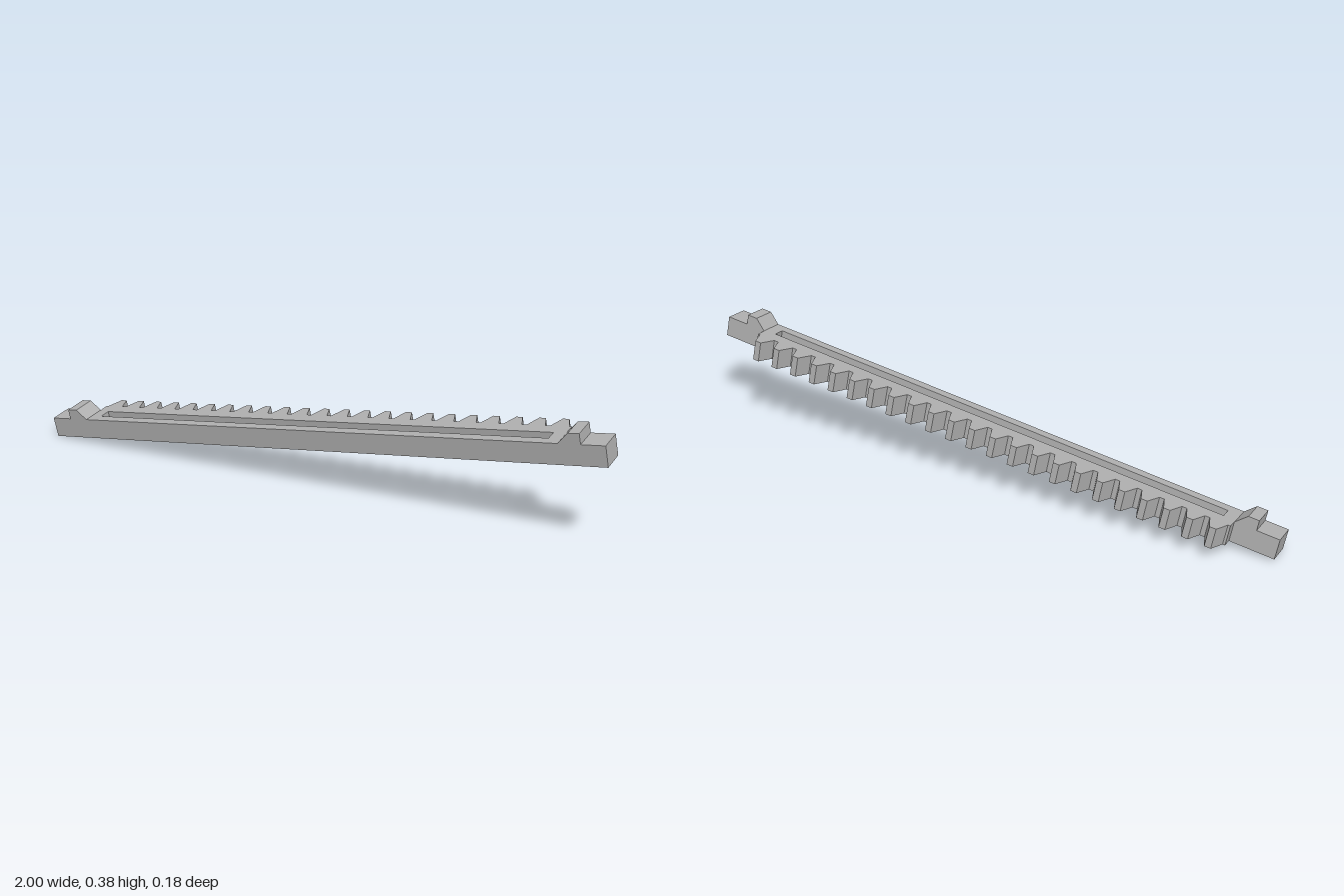
import * as THREE from 'three';

const HALF = 1.005, WIDTH = 0.0835, THICK = 0.068; // bar
const TEETH = 23, PITCH = 0.0747, ROOT = 0.119, TIP = 0.171; // toothed edge
const TIP_HALF = 0.0105, BASE_HALF = 0.0295;

export function createModel() {
  const grey = new THREE.MeshStandardMaterial({ color: 0xb0b0b0 });
  grey.name = 'grey';

  const model = new THREE.Group();
  model.name = 'gearRack';

  // Rack bar: plan outline with teeth along the back, and a long slot
  const rackHalf = (TEETH * PITCH) / 2;
  const outline = [[-HALF, 0], [HALF, 0], [HALF, WIDTH], [rackHalf, WIDTH], [rackHalf, ROOT]];
  for (let i = TEETH - 1; i >= 0; i--) {
    const u = (i - (TEETH - 1) / 2) * PITCH;
    outline.push([u + BASE_HALF, ROOT], [u + TIP_HALF, TIP], [u - TIP_HALF, TIP], [u - BASE_HALF, ROOT]);
  }
  outline.push([-rackHalf, ROOT], [-rackHalf, WIDTH], [-HALF, WIDTH]);
  const toPoints = (list) => list.map(([x, y]) => new THREE.Vector2(x, y));
  const plan = new THREE.Shape(toPoints(outline));
  plan.holes.push(new THREE.Path(toPoints([[-0.82, 0.033], [-0.82, 0.073], [0.82, 0.073], [0.82, 0.033]])));
  const barGeometry = new THREE.ExtrudeGeometry(plan, { depth: THICK, bevelEnabled: false });
  barGeometry.rotateX(-Math.PI / 2);
  const bar = new THREE.Mesh(barGeometry, grey);
  bar.name = 'toothedBar';
  model.add(bar);

  // Stop ridges: steep outside, sloped towards the middle
  for (const side of [-1, 1]) {
    const profile = [[0.93, THICK], [0.93, 0.102], [0.895, 0.102], [0.86, THICK]];
    const shape = new THREE.Shape(toPoints(profile.map(([x, y]) => [side * x, y])));
    const geometry = new THREE.ExtrudeGeometry(shape, { depth: WIDTH, bevelEnabled: false });
    geometry.translate(0, 0, -WIDTH);
    const ridge = new THREE.Mesh(geometry, grey);
    ridge.name = side > 0 ? 'leftStopRidge' : 'rightStopRidge';
    model.add(ridge);
  }

  // The whole rack rests at a tilt
  model.rotation.set(THREE.MathUtils.degToRad(6.7), 0, THREE.MathUtils.degToRad(7.92), 'ZYX');
  model.position.set(0.005, 0.1385, 0.08);

  const root = new THREE.Group();
  root.name = 'tiltedRack';
  root.add(model);
  return root;
}
